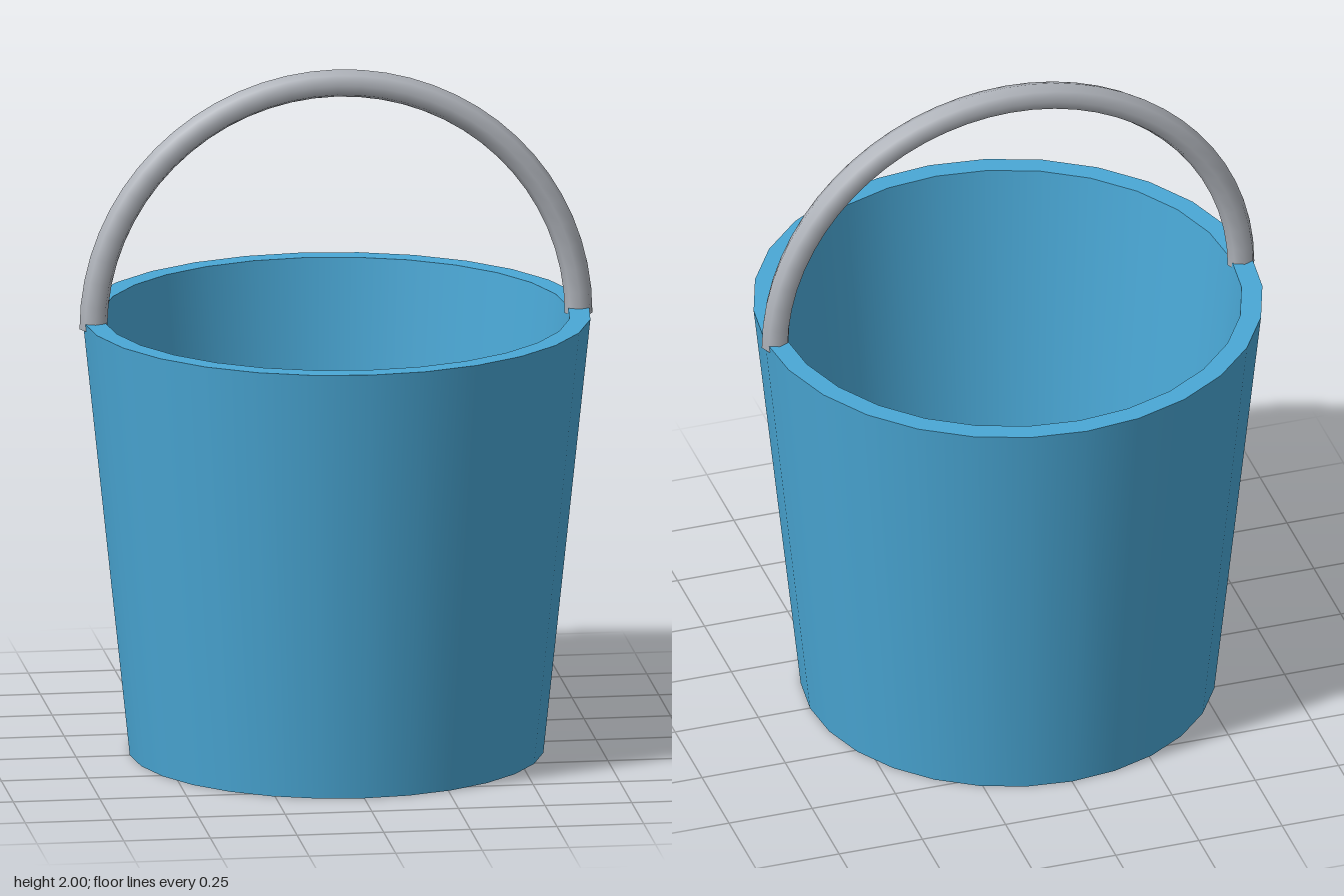
import * as THREE from 'three';

export function createModel() {
  const model = new THREE.Group();
  model.name = 'bucket';

  const blue = new THREE.MeshStandardMaterial({ color: 0x4aa8d6 });
  blue.name = 'bucketBlue';
  const grey = new THREE.MeshStandardMaterial({ color: 0xb0b4bb });
  grey.name = 'handleGrey';

  const add = (parent, name, geometry, material) => {
    const mesh = new THREE.Mesh(geometry, material);
    mesh.name = name;
    parent.add(mesh);
    return mesh;
  };

  // Bucket body: each straight run of the profile is its own lathe, so corners stay sharp
  const body = new THREE.Group();
  body.name = 'body';
  model.add(body);
  const profile = [[0, 0], [0.595, 0], [0.73, 1.28], [0.67, 1.28], [0.543, 0.07], [0, 0.07]]
    .map(([r, y]) => new THREE.Vector2(r, y));
  ['base', 'outerWall', 'rim', 'innerWall', 'floor'].forEach((name, i) => {
    add(body, name, new THREE.LatheGeometry([profile[i], profile[i + 1]], 28), blue);
  });

  // Arched handle with eight-sided section, ends sunk into the rim
  const handle = new THREE.Group();
  handle.name = 'handle';
  handle.position.y = 1.26;
  model.add(handle);
  add(handle, 'handleArch', new THREE.TorusGeometry(0.7, 0.04, 8, 32, Math.PI), grey);
  for (const side of [-1, 1]) {
    const end = add(handle, side > 0 ? 'leftHandleEnd' : 'rightHandleEnd',
      new THREE.CircleGeometry(0.04, 8), grey);
    end.rotation.x = Math.PI / 2;
    end.position.x = side * 0.7;
  }

  return model;
}
